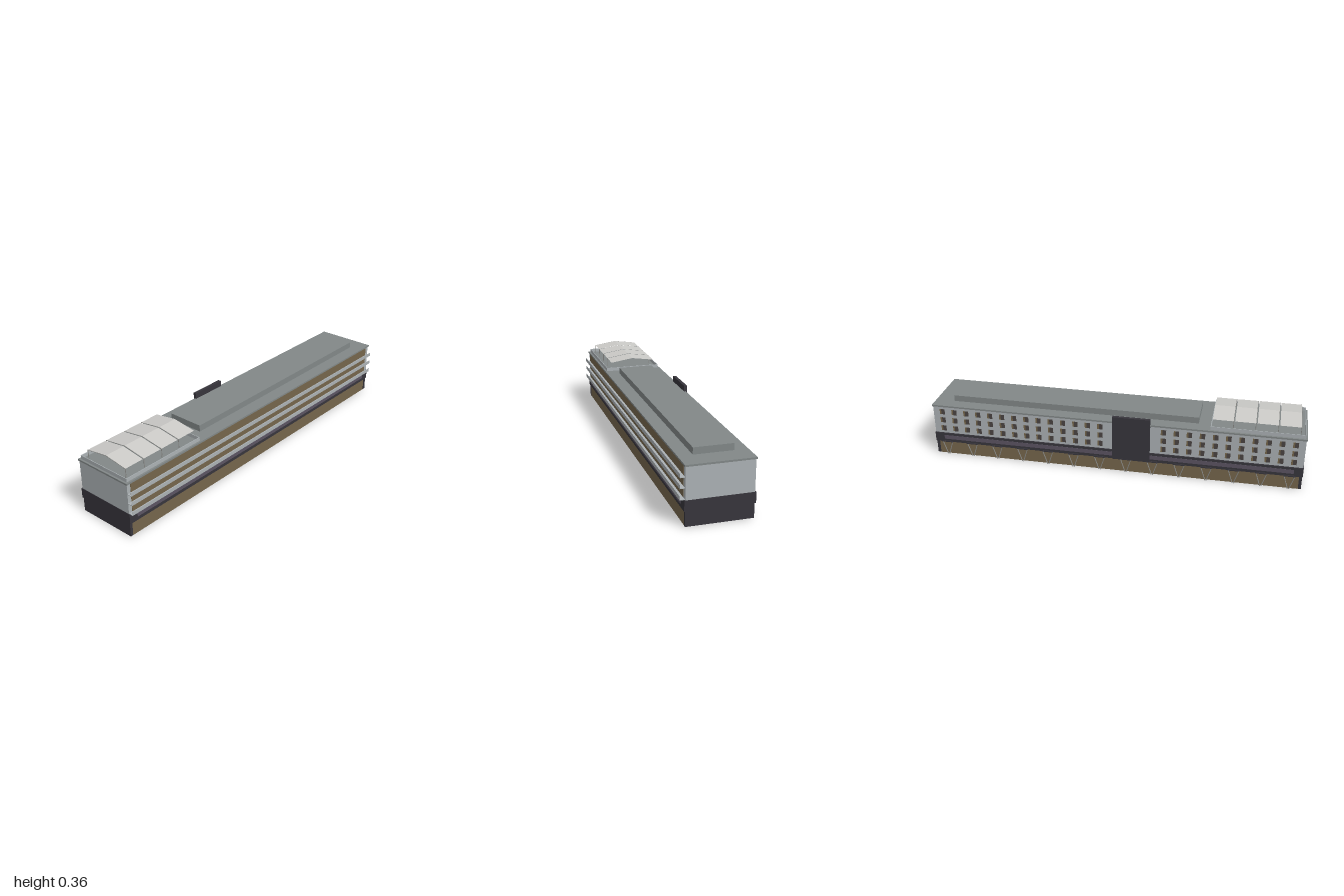
import * as THREE from 'three';

const mat = (name, color, side = THREE.FrontSide) => {
  const m = new THREE.MeshStandardMaterial({ color, side });
  m.name = name;
  return m;
};

export function createModel() {
  const pale = mat('paleCladding', 0xacb2b5);
  const dark = mat('darkCladding', 0x37353c);
  const roofGrey = mat('roofGrey', 0x828888);
  const brown = mat('bronzeGlazing', 0x75664c);
  const plum = mat('plumGlass', 0x5b5462);
  const canopyWhite = mat('canopyFabric', 0xcccbc8, THREE.DoubleSide);
  const steel = mat('steel', 0x8f8f8c);
  const windowDark = mat('windowGlass', 0x4a4443);

  const model = new THREE.Group();
  model.name = 'longBuilding';

  // Box given by its minimum and maximum on each axis
  const box = (name, m, x0, x1, y0, y1, z0, z1, parent = model) => {
    const mesh = new THREE.Mesh(new THREE.BoxGeometry(x1 - x0, y1 - y0, z1 - z0), m);
    mesh.position.set((x0 + x1) / 2, (y0 + y1) / 2, (z0 + z1) / 2);
    mesh.name = name;
    parent.add(mesh);
    return mesh;
  };
  const group = (name) => {
    const g = new THREE.Group();
    g.name = name;
    model.add(g);
    return g;
  };
  // Thin round bar between two points
  const bar = (name, m, a, b, r, parent) => {
    const d = b.clone().sub(a);
    const mesh = new THREE.Mesh(new THREE.CylinderGeometry(r, r, d.length(), 6), m);
    mesh.position.copy(a).add(b).multiplyScalar(0.5);
    mesh.quaternion.setFromUnitVectors(new THREE.Vector3(0, 1, 0), d.normalize());
    mesh.name = name;
    parent.add(mesh);
  };
  const v = (x, y, z) => new THREE.Vector3(x, y, z);

  // Ground floor: hollow, open underneath
  const ground = group('groundFloor');
  box('frontShopWall', brown, -0.98, 0.98, 0, 0.072, 0.147, 0.154, ground);
  box('backShopWall', brown, -0.98, 0.98, 0, 0.077, -0.165, -0.159, ground);
  for (const s of [-1, 1]) {
    const a = s * 0.98, b = s * 0.995;
    box('endWall', dark, Math.min(a, b), Math.max(a, b), 0.003, 0.077, -0.168, 0.157, ground);
  }
  box('frontLintel', dark, -0.98, 0.98, 0.07, 0.077, 0.147, 0.157, ground);

  // Dark mezzanine band with glass strips
  const mezzanine = group('mezzanine');
  box('mezzanineBand', dark, -0.997, 0.997, 0.077, 0.13, -0.174, 0.162, mezzanine);
  box('frontGlassStrip', plum, -0.95, 0.945, 0.094, 0.121, 0.161, 0.164, mezzanine);
  box('backGlassStrip', plum, -0.95, 0.945, 0.094, 0.117, -0.1755, -0.173, mezzanine);

  // Upper storeys and roof
  box('upperStoreys', pale, -0.995, 0.995, 0.13, 0.289, -0.168, 0.157);
  box('roofSlab', roofGrey, -1, 1, 0.288, 0.297, -0.171, 0.162);
  box('roofPlantRoom', roofGrey, -0.445, 0.895, 0.297, 0.331, -0.103, 0.092);
  box('stairTower', dark, -0.2, 0, 0.077, 0.328, -0.179, -0.162);

  // Front balconies with glazing behind
  const balconies = group('balconies');
  for (const y of [0.13, 0.184, 0.235]) {
    box('balconyGlazing', brown, -0.975, 0.97, y + 0.005, y + 0.05, 0.156, 0.159, balconies);
    box('balconyFloor', pale, -0.995, 0.99, y, y + 0.003, 0.157, 0.181, balconies);
    box('balconyRail', pale, -0.995, 0.99, y, y + 0.02, 0.1795, 0.181, balconies);
  }

  // Back windows: a bronze pane beside a dark pane, three rows
  const windows = group('backWindows');
  for (const y of [0.144, 0.194, 0.244]) {
    for (let i = 0; i < 29; i++) {
      const x = -0.945 + i * 0.0675;
      if (x > -0.23 && x < 0.03) continue;
      box('windowPane', windowDark, x - 0.014, x + 0.005, y, y + 0.03, -0.170, -0.167, windows);
      box('windowPanel', brown, x + 0.005, x + 0.014, y, y + 0.03, -0.170, -0.167, windows);
    }
  }

  // V-shaped supports along the back
  const supports = group('backSupports');
  for (let i = 0; i < 14; i++) {
    const x = -0.93 + i * 0.143;
    for (const s of [-1, 1]) {
      bar('supportLeg', steel, v(x + s * 0.003, 0.002, -0.177), v(x + s * 0.028, 0.079, -0.177), 0.0025, supports);
    }
    box('supportHead', dark, x - 0.03, x + 0.03, 0.077, 0.083, -0.18, -0.172, supports);
  }

  // Terrace parapet
  const parapet = group('terraceParapet');
  for (const z of [-0.16, 0.149]) box('parapetSide', pale, -0.99, -0.51, 0.297, 0.316, z, z + 0.003, parapet);
  for (const x of [-0.99, -0.513]) box('parapetEnd', pale, x, x + 0.003, 0.297, 0.316, -0.16, 0.152, parapet);

  // Gabled canopy of four sheets on slim frames
  const canopy = group('terraceCanopy');
  const front = 0.122, back = -0.134, ridge = -0.006, eave = 0.345, top = 0.364;
  for (let i = 0; i < 4; i++) {
    const x0 = -0.965 + i * 0.1135;
    const x1 = x0 + 0.107;
    for (const z of [front, back]) {
      const s = new THREE.BufferGeometry();
      const ends = z > ridge ? [[z, eave], [ridge, top]] : [[ridge, top], [z, eave]];
      const [[za, ya], [zb, yb]] = ends;
      s.setAttribute('position', new THREE.Float32BufferAttribute(
        [x0, ya, za, x1, ya, za, x1, yb, zb, x0, yb, zb], 3));
      s.setIndex([0, 1, 2, 0, 2, 3]);
      s.computeVertexNormals();
      const sheet = new THREE.Mesh(s, canopyWhite);
      sheet.name = 'canopySheet';
      canopy.add(sheet);
      bar('canopyPost', steel, v(x0, 0.297, z), v(x0, eave, z), 0.002, canopy);
      bar('canopyRafter', steel, v(x0, eave - 0.001, z), v(x0, top - 0.001, ridge), 0.0015, canopy);
    }
  }

  return model;
}
